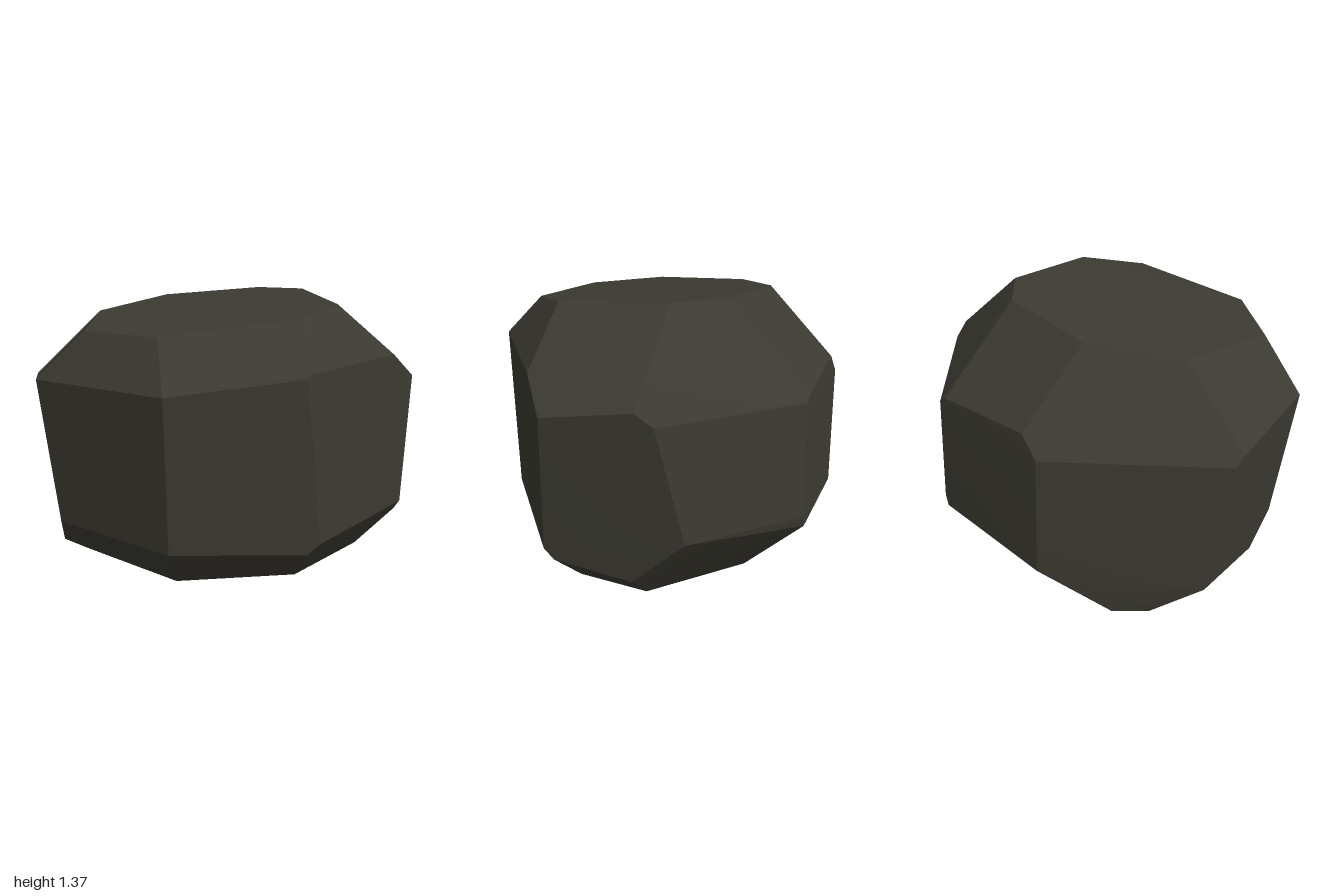
import * as THREE from 'three';
import { ConvexGeometry } from 'three/addons/geometries/ConvexGeometry.js';
import { toCreasedNormals } from 'three/addons/utils/BufferGeometryUtils.js';

// Corner rings of the faceted stone, each corner as [x, y, z]
const topFacet = [
  [-0.31, 1.32, -0.43], [0.22, 1.36, -0.44], [0.45, 1.365, -0.26], [0.56, 1.33, 0.28],
  [0.35, 1.286, 0.55], [-0.29, 1.225, 0.67], [-0.65, 1.22, 0.42], [-0.65, 1.26, -0.12],
];
const shoulder = [
  [-0.31, 0.99, -0.78], [0.22, 0.97, -0.857], [0.26, 0.94, -0.862], [0.855, 0.94, -0.41],
  [0.885, 1.0, -0.33], [1.0, 0.94, 0.08], [0.86, 1.075, 0.24], [0.375, 1.075, 0.765],
  [0.36, 1.057, 0.777], [-0.26, 1.0, 0.885], [-0.89, 0.99, 0.42], [-1.0, 0.925, -0.1],
  [-1.0, 0.88, -0.15], [-0.4, 0.89, -0.78],
];
const lowerEdge = [
  [0.29, 0.375, -0.885], [0.78, 0.375, -0.52], [0.83, 0.13, -0.27], [0.94, 0.2, 0.09],
  [0.96, 0.26, 0.13], [0.45, 0.255, 0.69], [0.39, 0.205, 0.7], [-0.25, 0.262, 0.822],
  [-0.81, 0.265, 0.41], [-0.83, 0.1, 0.25], [-0.935, 0.175, -0.22], [-0.385, 0.26, -0.797],
  [0.27, 0.32, -0.887],
];
const baseFacet = [
  [0.25, 0, -0.58], [0.7, 0, -0.27], [0.735, 0, 0.09], [0.36, 0, 0.48],
  [-0.23, 0, 0.545], [-0.7, 0, 0.17], [-0.74, 0, -0.39], [-0.62, 0, -0.53],
];

export function createModel() {
  const group = new THREE.Group();
  group.name = 'rock';
  const stone = new THREE.MeshStandardMaterial({ color: 0x3b3a32 });
  stone.name = 'dark stone';

  // Hull of the rings; the small crease angle keeps each facet evenly shaded
  const points = [...topFacet, ...shoulder, ...lowerEdge, ...baseFacet]
    .map((p) => new THREE.Vector3(...p));
  const body = new THREE.Mesh(toCreasedNormals(new ConvexGeometry(points), 0.16), stone);
  body.name = 'stoneBody';
  group.add(body);
  return group;
}
